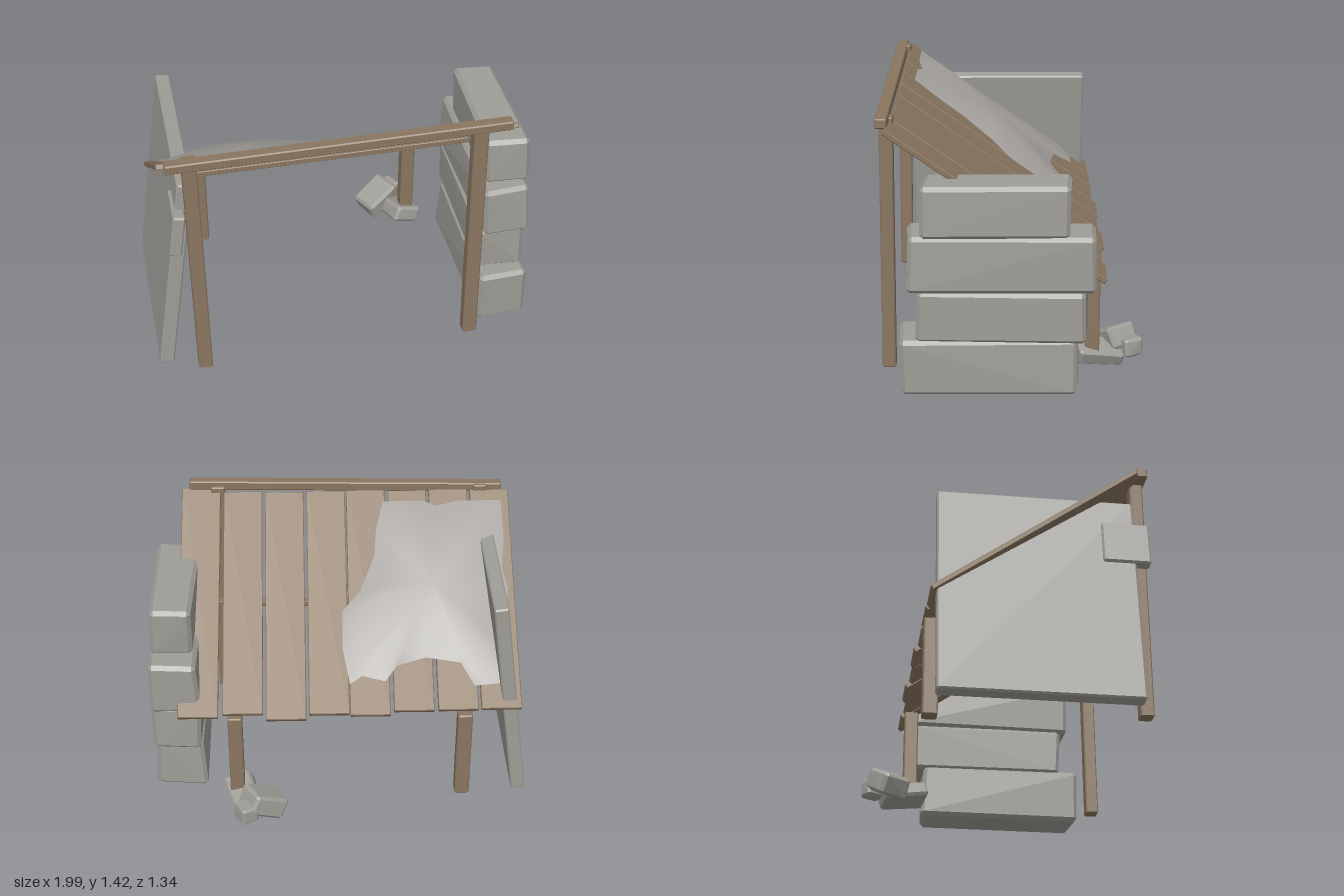
import * as THREE from 'three';
import { ConvexGeometry } from 'three/addons/geometries/ConvexGeometry.js';

const wood = new THREE.MeshStandardMaterial({ color: 0x8a7660 });
wood.name = 'weathered wood';
const stone = new THREE.MeshStandardMaterial({ color: 0x9f9d97 });
stone.name = 'grey stone';
const cloth = new THREE.MeshStandardMaterial({ color: 0xa6a3a0, side: THREE.DoubleSide });
cloth.name = 'pale sheet';

let seed = 7;
const rand = () => ((seed = (seed * 16807) % 2147483647) / 2147483647) * 2 - 1;

// Box with chamfered edges; each corner can be nudged for a hand-cut look
function chamferBox(w, h, d, bevel, jitter = 0) {
  const pts = [];
  for (const sx of [-1, 1]) for (const sy of [-1, 1]) for (const sz of [-1, 1]) {
    const c = new THREE.Vector3(
      sx * w / 2 + rand() * jitter, sy * h / 2 + rand() * jitter * 0.4, sz * d / 2 + rand() * jitter);
    pts.push(
      new THREE.Vector3(c.x, c.y - sy * bevel, c.z - sz * bevel),
      new THREE.Vector3(c.x - sx * bevel, c.y, c.z - sz * bevel),
      new THREE.Vector3(c.x - sx * bevel, c.y - sy * bevel, c.z));
  }
  return new ConvexGeometry(pts);
}

function block(parent, name, mat, size, pos, rot = [0, 0, 0], bevel = 0.006, jitter = 0) {
  const mesh = new THREE.Mesh(chamferBox(...size, bevel, jitter), mat);
  mesh.name = name;
  mesh.position.set(...pos);
  mesh.rotation.set(...rot);
  parent.add(mesh);
  return mesh;
}

// Height of the sloping roof's upper face at depth z
const SLOPE = 0.715;
const roofY = z => 0.655 + SLOPE * (z + 0.4);

// Lumpy sheet lying on the roof: rings shrinking from the outline to a raised middle
function sheetGeometry() {
  const outline = [
    [-0.765, -0.33], [-0.7, -0.335], [-0.635, -0.23], [-0.45, -0.205], [-0.3, -0.24], [-0.235, -0.31],
    [-0.115, -0.285], [-0.05, -0.32], [-0.015, -0.16], [-0.02, 0.015], [-0.115, 0.105], [-0.195, 0.27],
    [-0.21, 0.4], [-0.25, 0.535], [-0.475, 0.535], [-0.54, 0.51], [-0.66, 0.535], [-0.895, 0.535],
    [-0.9, 0.35], [-0.88, 0.21], [-0.905, 0.11], [-0.885, -0.03], [-0.9, -0.21], [-0.895, -0.32]];
  const n = outline.length, rings = 5, cx = -0.5, cz = 0.1;
  const pos = [cx, roofY(cz) + 0.07, cz], index = [];
  for (let r = 1; r <= rings; r++) {
    const t = r / rings;
    for (const [x, z] of outline) {
      const pz = cz + (z - cz) * t;
      pos.push(cx + (x - cx) * t, roofY(pz) + 0.008 + 0.062 * (1 - t * t), pz);
    }
  }
  for (let i = 0; i < n; i++) {
    const j = (i + 1) % n;
    index.push(0, 1 + j, 1 + i);
    for (let r = 0; r < rings - 1; r++) {
      const a = 1 + r * n, b = a + n;
      index.push(a + i, a + j, b + i, a + j, b + j, b + i);
    }
  }
  const g = new THREE.BufferGeometry();
  g.setAttribute('position', new THREE.Float32BufferAttribute(pos, 3));
  g.setIndex(index);
  g.computeVertexNormals();
  return g;
}

export function createModel() {
  const model = new THREE.Group();
  model.name = 'leanToShelter';

  // Upright posts
  block(model, 'frontRightPost', wood, [0.072, 1.325, 0.068], [-0.774, 0.733, 0.63], [-0.012, 0, 0.015]);
  block(model, 'frontLeftPost', wood, [0.075, 1.325, 0.068], [0.652, 0.735, 0.63], [-0.012, 0, 0.006]);
  block(model, 'backRightPost', wood, [0.078, 0.515, 0.075], [-0.65, 0.33, -0.4]);
  block(model, 'backLeftPost', wood, [0.075, 0.515, 0.075], [0.553, 0.33, -0.4]);

  // Front top beam and the thin bar under the roof
  block(model, 'topBeam', wood, [1.705, 0.05, 0.06], [-0.05, 1.385, 0.637], [0, 0, 0.018]);
  block(model, 'crossBar', wood, [1.485, 0.032, 0.035], [0.003, 0.944, 0.128], [0, 0, 0.014], 0.003);

  // Roof planks: x centre, z of the back end, lift
  const roof = new THREE.Group();
  roof.name = 'plankRoof';
  model.add(roof);
  const planks = [
    [-0.835, -0.43, 0], [-0.61, -0.436, 0.004], [-0.383, -0.435, 0], [-0.155, -0.455, 0.004],
    [0.06, -0.445, 0], [0.285, -0.465, -0.003], [0.51, -0.442, 0.002], [0.74, -0.455, 0.003]];
  const angle = Math.atan(SLOPE), thick = 0.028;
  planks.forEach(([x, back, lift], i) => {
    const front = i === 7 ? 0.63 : 0.61;
    const z = (front + back) / 2;
    block(roof, 'plank', wood, [0.21, thick, (front - back) / Math.cos(angle) - 0.015],
      [x, roofY(z) - thick / 2 / Math.cos(angle) + lift, z], [-angle, rand() * 0.004, 0], 0.004);
  });

  // Sheet thrown over the right half of the roof
  const sheet = new THREE.Mesh(sheetGeometry(), cloth);
  sheet.name = 'roofSheet';
  model.add(sheet);

  // Leaning slab with a small block on its front edge
  block(model, 'leaningSlab', stone, [0.076, 1.155, 0.99], [-0.8825, 0.643, 0.097], [0, 0, -0.134], 0.008);
  block(model, 'slabBlock', stone, [0.062, 0.235, 0.24], [-0.862, 0.96, 0.545], [0, 0, -0.134], 0.008);

  // Stacked stones: y range, z range, x range
  const wall = new THREE.Group();
  wall.name = 'stoneStack';
  model.add(wall);
  const stones = [
    [0.06, 0.352, -0.312, 0.565, 0.728, 0.99], [0.342, 0.605, -0.355, 0.475, 0.74, 0.985],
    [0.6, 0.885, -0.395, 0.515, 0.738, 0.982], [0.878, 1.14, -0.268, 0.445, 0.755, 0.982]];
  for (const [y0, y1, z0, z1, x0, x1] of stones) {
    block(wall, 'stone', stone, [x1 - x0, y1 - y0, z1 - z0],
      [(x0 + x1) / 2, (y0 + y1) / 2, (z0 + z1) / 2], [0, 0, 0], 0.02, 0.012);
  }

  // Rubble beside the back post
  const rubble = new THREE.Group();
  rubble.name = 'rubble';
  model.add(rubble);
  block(rubble, 'rock', stone, [0.21, 0.12, 0.16], [0.415, 0.115, -0.53], [0.1, 0.5, 0.42], 0.016, 0.008);
  block(rubble, 'rock', stone, [0.15, 0.09, 0.25], [0.52, 0.085, -0.435], [-0.22, 0.3, -0.25], 0.014, 0.008);
  block(rubble, 'rock', stone, [0.1, 0.095, 0.11], [0.5, 0.107, -0.605], [0, 0.5, 0.05], 0.012, 0.006);

  return model;
}
